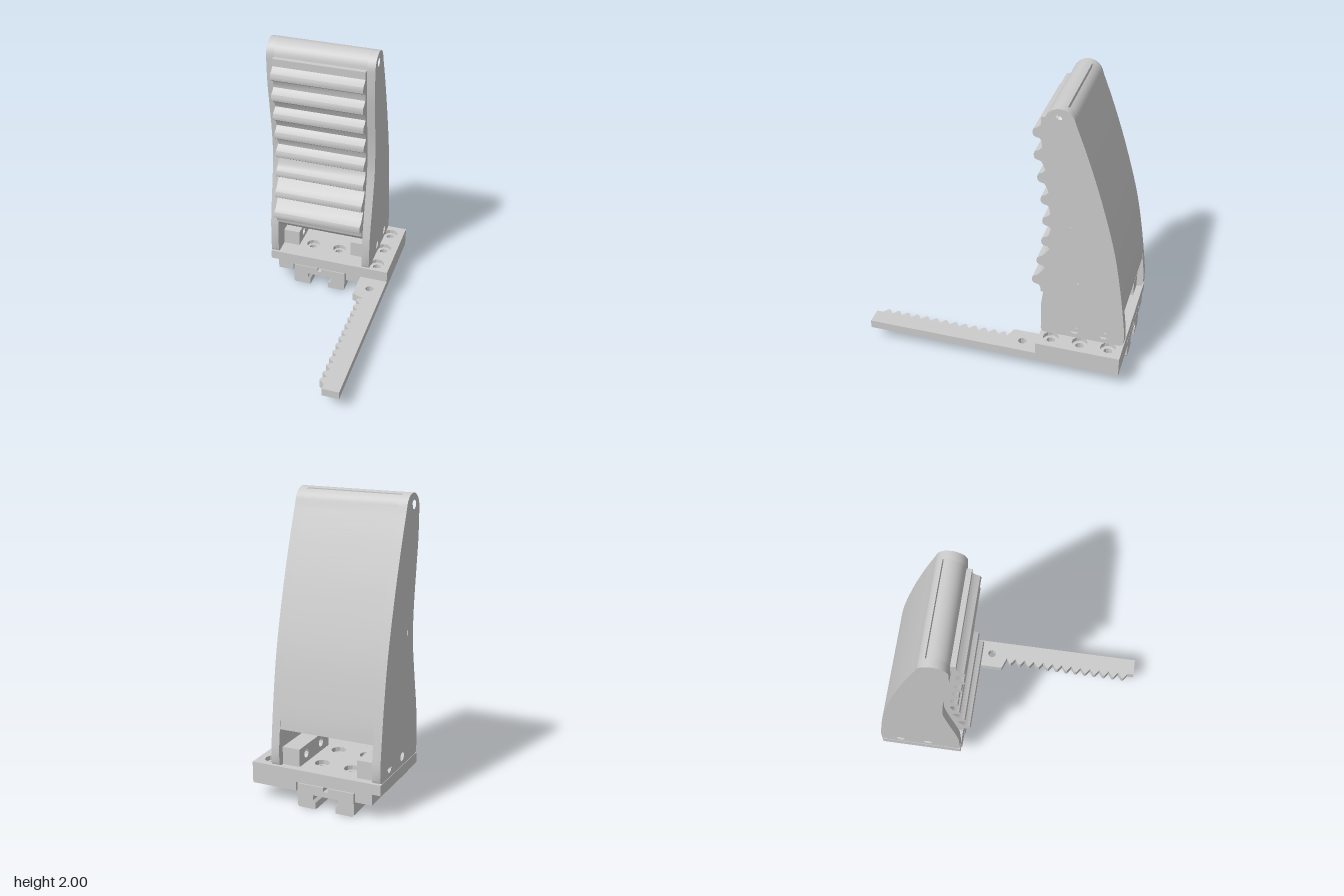
import * as THREE from 'three';
import { toCreasedNormals } from 'three/addons/utils/BufferGeometryUtils.js';

const material = new THREE.MeshStandardMaterial({ color: 0xcccccc });
const v = (x, y) => new THREE.Vector2(x, y);
const curve = (pts, n) => new THREE.SplineCurve(pts.map(p => v(...p))).getPoints(n);

export function createModel() {
  const model = new THREE.Group();

  const add = (name, geometry) => {
    const mesh = new THREE.Mesh(toCreasedNormals(geometry, 0.6), material);
    mesh.name = name;
    model.add(mesh);
  };

  const extrude = (pts, depth, holes = []) => {
    const shape = new THREE.Shape(pts);
    for (const [x, y, r] of holes) shape.holes.push(new THREE.Path().absarc(x, y, r, 0, Math.PI * 2, true));
    return new THREE.ExtrudeGeometry(shape, { depth, bevelEnabled: false, curveSegments: 5 });
  };

  // Side outline (-z, y) pushed along x from x0 to x1
  const alongX = (name, pts, x0, x1, holes) =>
    add(name, extrude(pts, x1 - x0, holes).rotateY(Math.PI / 2).translate(x0, 0, 0));

  // Plan outline (x, -z) pushed up from y0 to y1
  const alongY = (name, pts, y0, y1, holes) =>
    add(name, extrude(pts, y1 - y0, holes).rotateX(-Math.PI / 2).translate(0, y0, 0));

  const rect = (a, b, c, d) => [v(a, b), v(c, b), v(c, d), v(a, d)];
  const arc = (from, to, n) => Array.from({ length: n + 1 }, (_, i) => {
    const t = from + (to - from) * i / n;
    return v(0.415 + 0.1 * Math.cos(t), 1.9 + 0.1 * Math.sin(t));
  });

  // Finger side plates
  const back = curve([[0.52, 1.9], [0.6, 1.69], [0.7, 1.39], [0.8, 1.03], [0.86, 0.71], [0.905, 0.38]], 24);
  const front = curve([[0.32, 0.5], [0.335, 0.62], [0.365, 0.8], [0.395, 1], [0.4, 1.12],
    [0.385, 1.3], [0.355, 1.5], [0.325, 1.7], [0.315, 1.88]], 28);
  const plate = [v(0.345, 0.25), v(0.328, 0.257), v(0.32, 0.28), ...front, ...arc(Math.PI, 0.3, 14),
    ...back, v(0.908, 0.28), v(0.9, 0.258), v(0.88, 0.25)];
  const bodyHoles = [[0.4, 1.925, 0.03], [0.515, 1.13, 0.031], [0.578, 0.69, 0.033]];
  const boltHoles = [[0.56, 0.31, 0.03], [0.765, 0.31, 0.03]];
  alongX('rightSidePlate', plate, -0.457, -0.4, [...bodyHoles, ...boltHoles]);
  alongX('leftSidePlate', plate, 0.255, 0.312, [...bodyHoles, ...boltHoles]);

  // Finger body with rounded underside, ribbed grip face and a slit across the top
  const ribs = [];
  [0.225, 0.235, 0.26, 0.285, 0.3, 0.295, 0.265, 0.235].forEach((p, i) => {
    const y = 1.79 - 0.163 * i;
    ribs.push([p + 0.055, y + 0.055], [p + 0.035, y + 0.035], [p + 0.007, y + 0.022], [p, y],
      [p + 0.004, y - 0.025], [p + 0.02, y - 0.037], [p + 0.048, y - 0.043], [p + 0.06, y - 0.06]);
  });
  const ribbed = ribs.reverse().map(p => v(...p));
  const underside = curve([[0.885, 0.5], [0.82, 0.49], [0.7, 0.46], [0.58, 0.45], [0.45, 0.455],
    [0.36, 0.49], [0.32, 0.55]], 18);
  const body = [v(0.3, 0.55), ...ribbed, v(0.28, 1.9), v(0.315, 1.9),
    ...arc(Math.PI, 1.22, 8), v(0.449, 1.94), v(0.46, 1.94), ...arc(1.1, 0.3, 5),
    ...back.filter(p => p.y > 0.52), ...underside];
  alongX('ribbedFingerBody', body, -0.4, 0.255, bodyHoles);

  // Mounting blocks inside the plates
  for (const [name, x] of [['rightMountBlock', -0.4], ['leftMountBlock', 0.132]])
    alongX(name, rect(0.45, 0.25, 0.86, 0.37), x, x + 0.123, boltHoles);

  // Base plate: counterbored holes, side lip and lower runners
  const screws = [0.81, 0.61, 0.405].map(s => [0.355, s]);
  const inner = [[-0.18, 0.5], [0.03, 0.5], [-0.18, 0.74], [0.03, 0.74]];
  const sized = (list, r) => list.map(([x, s]) => [x, s, r]);
  const base = rect(-0.4, 0.32, 0.455, 0.908);
  alongY('baseTopLayer', base, 0.22, 0.25, [...sized(screws, 0.055), ...sized(inner, 0.05)]);
  alongY('baseLowerLayer', base, 0.165, 0.22, [...sized(screws, 0.03), ...sized(inner, 0.03)]);
  alongY('baseSideLip', rect(-0.46, 0.32, -0.4, 0.908), 0.18, 0.25);
  alongY('rightRunner', rect(-0.4, 0.32, -0.285, 0.908), 0.105, 0.165);
  alongY('leftRunner', rect(0.137, 0.32, 0.25, 0.908), 0.105, 0.165);

  // Toothed rack arm reaching forward
  const rack = [v(0.25, 0.908), v(0.25, 0.11), v(0.335, 0.08)];
  const teeth = 13, pitch = 0.95 / teeth;
  for (let i = 0; i < teeth; i++) {
    const s = 0.08 - i * pitch;
    rack.push(v(0.295, s - pitch * 0.3), v(0.295, s - pitch * 0.5), v(0.335, s - pitch * 0.9));
  }
  rack.push(v(0.335, -0.908), v(0.455, -0.908), v(0.455, 0.908));
  alongY('rackArm', rack, 0.105, 0.165, [...sized(screws, 0.03), [0.355, 0.2, 0.03]]);

  // Slotted slide carriage beneath the base
  const half = [[0.015, 0.16], [0.015, 0.132], [0, 0.132]];
  const leg = [[0.07, 0], [0.19, 0], [0.2, 0.012], [0.2, 0.16]];
  const slot = [[0.09, 0.095], [0.09, 0.06], [0.072, 0.045], [0.07, 0]];
  const side = [half[1], half[0], ...leg.slice().reverse(), ...slot.slice(0, 3).reverse()];
  const mirrored = side.slice().reverse().map(([x, y]) => [-x, y]);
  const carriage = [...side, ...mirrored].map(p => v(...p));
  add('slideCarriage', extrude(carriage, 0.588).translate(-0.075, 0, -0.908));

  return model;
}
